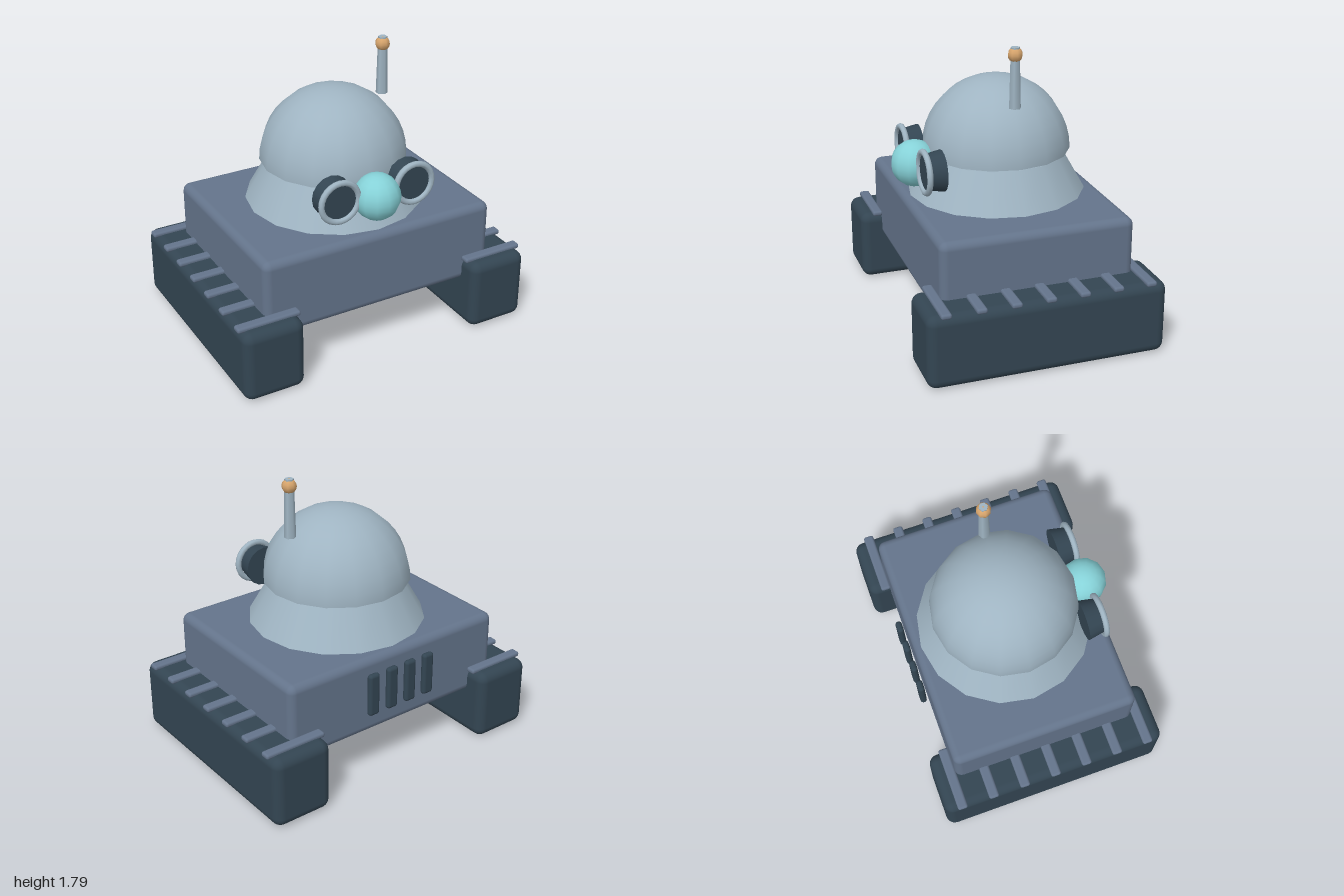
import * as THREE from 'three';
import { RoundedBoxGeometry } from 'three/addons/geometries/RoundedBoxGeometry.js';

function material(name, color, side = THREE.FrontSide) {
  const m = new THREE.MeshStandardMaterial({ color, side });
  m.name = name;
  return m;
}

export function createModel() {
  const model = new THREE.Group();
  model.name = 'trackedRobot';

  const slate = material('slate blue', 0x64748b);
  const pale = material('pale steel', 0x9fb4c2, THREE.DoubleSide);
  const dark = material('dark slate', 0x334552);
  const aqua = material('aqua', 0x86d2d8);
  const copper = material('copper', 0xd6a46c);

  function add(name, geometry, mat, x, y, z, parent = model) {
    const mesh = new THREE.Mesh(geometry, mat);
    mesh.name = name;
    mesh.position.set(x, y, z);
    parent.add(mesh);
    return mesh;
  }

  // Body
  add('body', new RoundedBoxGeometry(1.575, 0.505, 1.205, 3, 0.05), slate, 0, 0.558, 0);

  // Tracks with raised tread bars
  const trackGeo = new RoundedBoxGeometry(0.394, 0.462, 1.48, 3, 0.06);
  const treadGeo = new RoundedBoxGeometry(0.41, 0.034, 0.065, 2, 0.015);
  for (const side of [-1, 1]) {
    const track = new THREE.Group();
    track.name = side > 0 ? 'leftTrack' : 'rightTrack';
    track.position.x = side * 0.79;
    model.add(track);
    add('trackBlock', trackGeo, dark, 0, 0.231, 0, track);
    for (let i = -3; i <= 3; i++) add('treadBar', treadGeo, slate, 0, 0.465, i * 0.21, track);
  }

  // Neck and open-bottomed dome, separated by a thin gap
  add('neck', new THREE.CylinderGeometry(0.42, 0.557, 0.24, 16), pale, 0, 0.932, 0);
  add('dome', new THREE.SphereGeometry(0.462, 16, 10, 0, Math.PI * 2, 0, Math.PI / 2), pale, 0, 1.073, 0);

  // Nose
  add('nose', new THREE.SphereGeometry(0.146, 12, 12), aqua, 0, 1.023, 0.527);

  // Eyes: tapered barrel with a rim
  const barrelGeo = new THREE.CylinderGeometry(0.107, 0.128, 0.11, 16).rotateX(Math.PI / 2);
  const rimGeo = new THREE.TorusGeometry(0.125, 0.019, 8, 24);
  for (const side of [-1, 1]) {
    const eye = new THREE.Group();
    eye.name = side > 0 ? 'leftEye' : 'rightEye';
    eye.position.set(side * 0.255, 1.05, 0);
    model.add(eye);
    add('eyeBarrel', barrelGeo, dark, 0, 0, 0.48, eye);
    add('eyeRim', rimGeo, pale, 0, 0, 0.535, eye);
  }

  // Antenna
  add('antennaRod', new THREE.CylinderGeometry(0.028, 0.037, 0.37, 6), pale, 0.347, 1.608, 0);
  add('antennaBall', new THREE.SphereGeometry(0.046, 8, 8), copper, 0.347, 1.748, 0);

  // Rear vents
  const ventGeo = new RoundedBoxGeometry(0.078, 0.28, 0.042, 3, 0.02);
  for (let i = 0; i < 4; i++) add('rearVent', ventGeo, dark, -0.21 + i * 0.14, 0.59, -0.639);

  return model;
}
